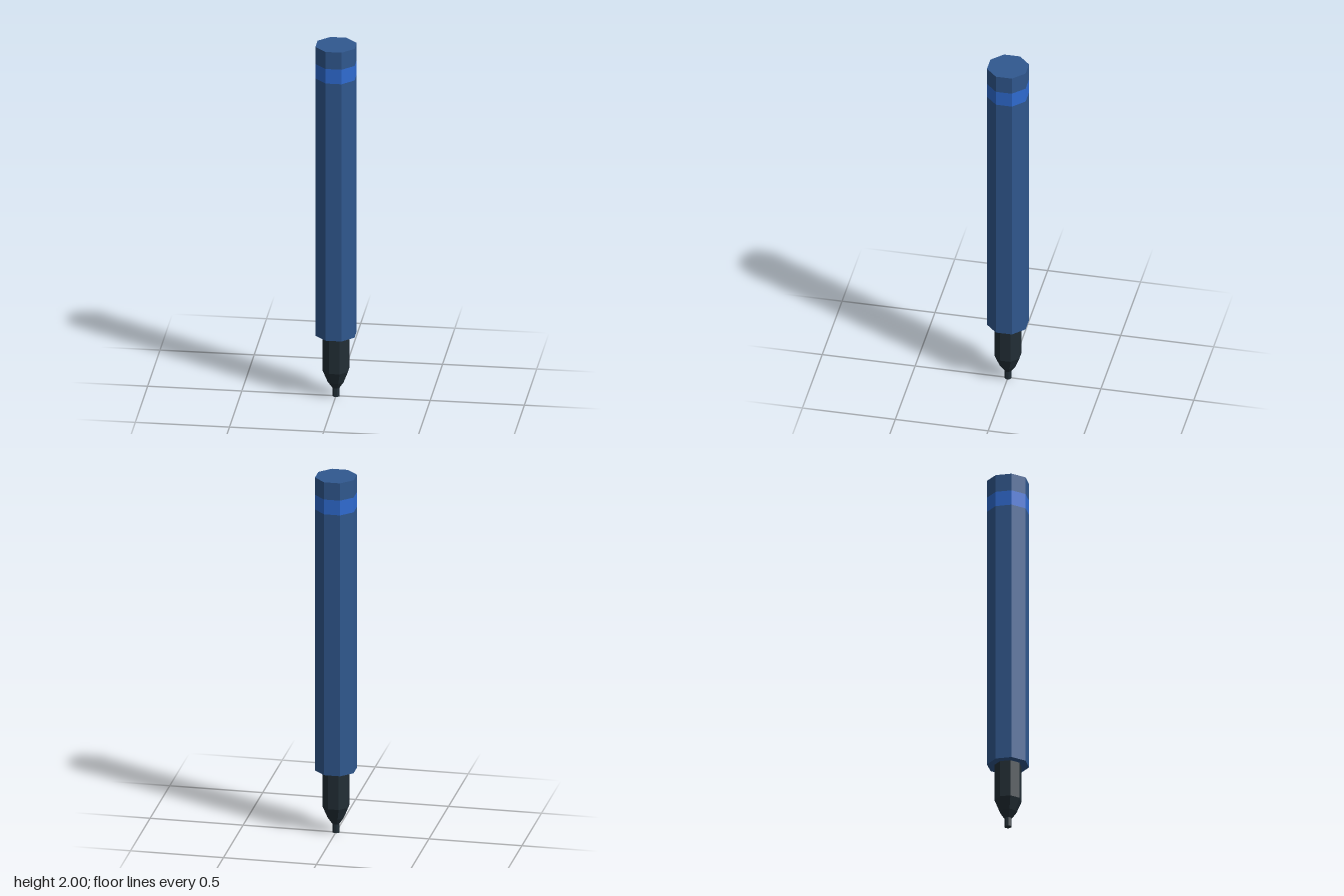
import * as THREE from 'three';

const SIDES = 8;
const APOTHEM = Math.cos(Math.PI / SIDES);

// Octagonal solid turned from [half width across flats, height] points, bottom to top
function octagonal(name, profile, material) {
  const points = profile.map(([r, y]) => new THREE.Vector2(r / APOTHEM, y));
  const geometry = new THREE.LatheGeometry(points, SIDES, Math.PI / SIDES).toNonIndexed();
  geometry.computeVertexNormals(); // flat facets
  const mesh = new THREE.Mesh(geometry, material);
  mesh.name = name;
  return mesh;
}

export function createModel() {
  const blue = new THREE.MeshStandardMaterial({ color: 0x30588f, flatShading: true });
  blue.name = 'barrel blue';
  const brightBlue = new THREE.MeshStandardMaterial({ color: 0x2f6cd3, flatShading: true });
  brightBlue.name = 'band bright blue';
  const charcoal = new THREE.MeshStandardMaterial({ color: 0x222e36, flatShading: true });
  charcoal.name = 'grip charcoal';

  const W = 0.104;
  const model = new THREE.Group();
  model.name = 'pen';
  model.add(
    // Barrel with closed underside
    octagonal('barrel', [[0, 0.354], [W, 0.354], [W, 1.82]], blue),
    // Bright band flush with the barrel
    octagonal('band', [[W, 1.82], [W, 1.903]], brightBlue),
    // Flat-topped end
    octagonal('endCap', [[W, 1.903], [W, 2], [0, 2]], blue),
    // Tapered grip
    octagonal('grip', [[0.018, 0.048], [0.042, 0.085], [0.067, 0.15], [0.067, 0.354]], charcoal),
    // Narrow writing tip
    octagonal('tip', [[0, 0], [0.018, 0], [0.018, 0.05]], charcoal),
  );
  return model;
}
